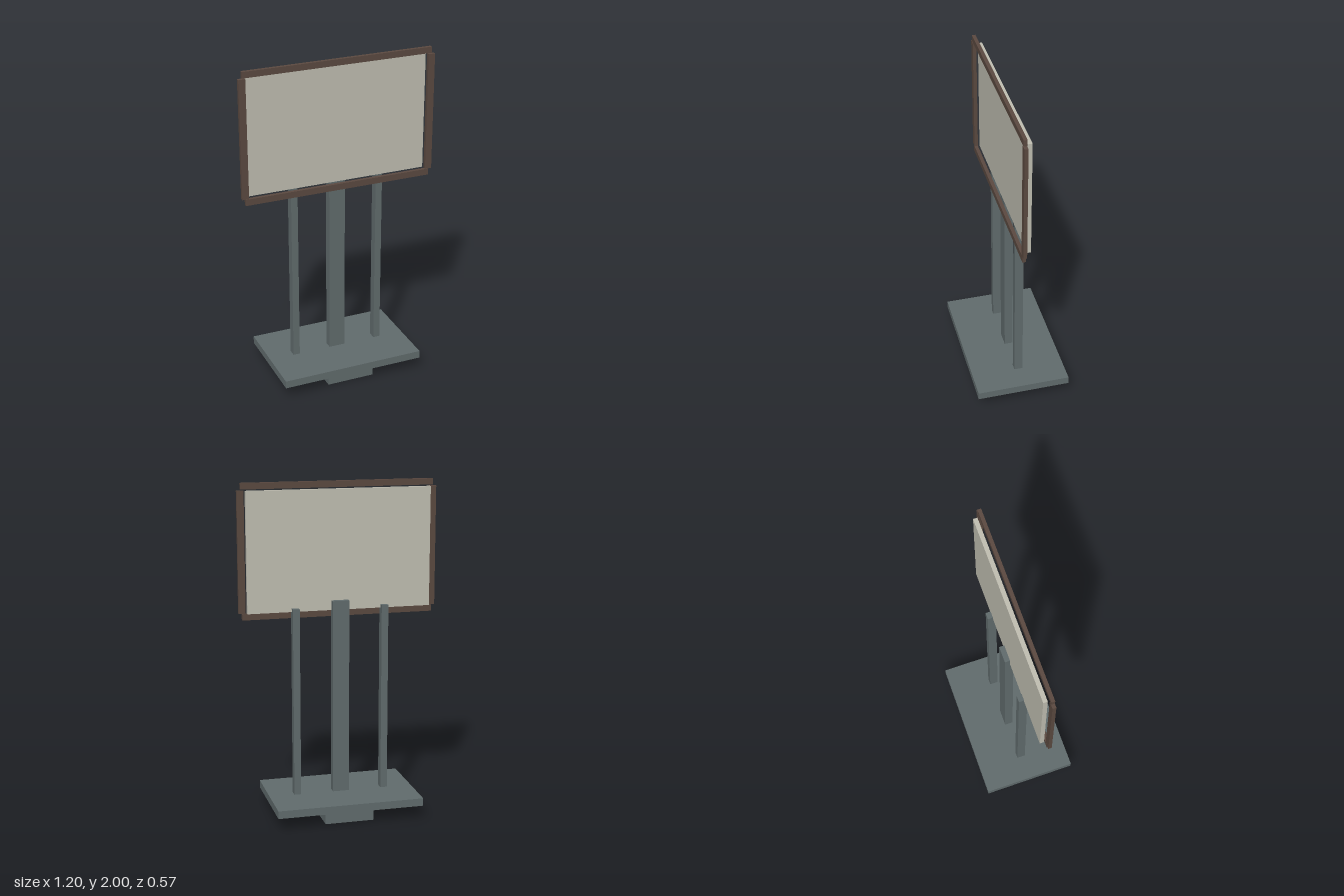
import * as THREE from 'three';

const steel = new THREE.MeshStandardMaterial({ name: 'slate steel', color: 0x626d6e });
const board = new THREE.MeshStandardMaterial({ name: 'pale board', color: 0xc2c0b3 });
const wood = new THREE.MeshStandardMaterial({ name: 'dark brown trim', color: 0x5c4a41 });

export function createModel() {
  const model = new THREE.Group();
  model.name = 'signStand';

  // Box given by its extents on each axis
  const box = (name, material, [x0, x1], [y0, y1], [z0, z1]) => {
    const mesh = new THREE.Mesh(new THREE.BoxGeometry(x1 - x0, y1 - y0, z1 - z0), material);
    mesh.position.set((x0 + x1) / 2, (y0 + y1) / 2, (z0 + z1) / 2);
    mesh.name = name;
    model.add(mesh);
  };

  // Foot and base plate
  box('foot', steel, [-0.147, 0.147], [0, 0.08], [-0.232, 0.232]);
  box('basePlate', steel, [-0.442, 0.442], [0.08, 0.127], [-0.284, 0.284]);

  // Posts
  const postZ = [-0.031, 0.02];
  box('centrePost', steel, [-0.05, 0.05], [0.127, 1.303], postZ);
  box('leftPost', steel, [0.249, 0.29], [0.127, 1.265], postZ);
  box('rightPost', steel, [-0.29, -0.249], [0.127, 1.265], postZ);

  // Display board
  box('panel', board, [-0.553, 0.553], [1.245, 1.957], [0, 0.025]);

  // Trim, standing slightly in front of the board
  const trimZ = [0.034, 0.055];
  box('topTrim', wood, [-0.577, 0.577], [1.963, 2], trimZ);
  box('bottomTrim', wood, [-0.577, 0.577], [1.202, 1.24], trimZ);
  box('leftTrim', wood, [0.557, 0.598], [1.242, 1.957], trimZ);
  box('rightTrim', wood, [-0.598, -0.557], [1.242, 1.957], trimZ);

  return model;
}
